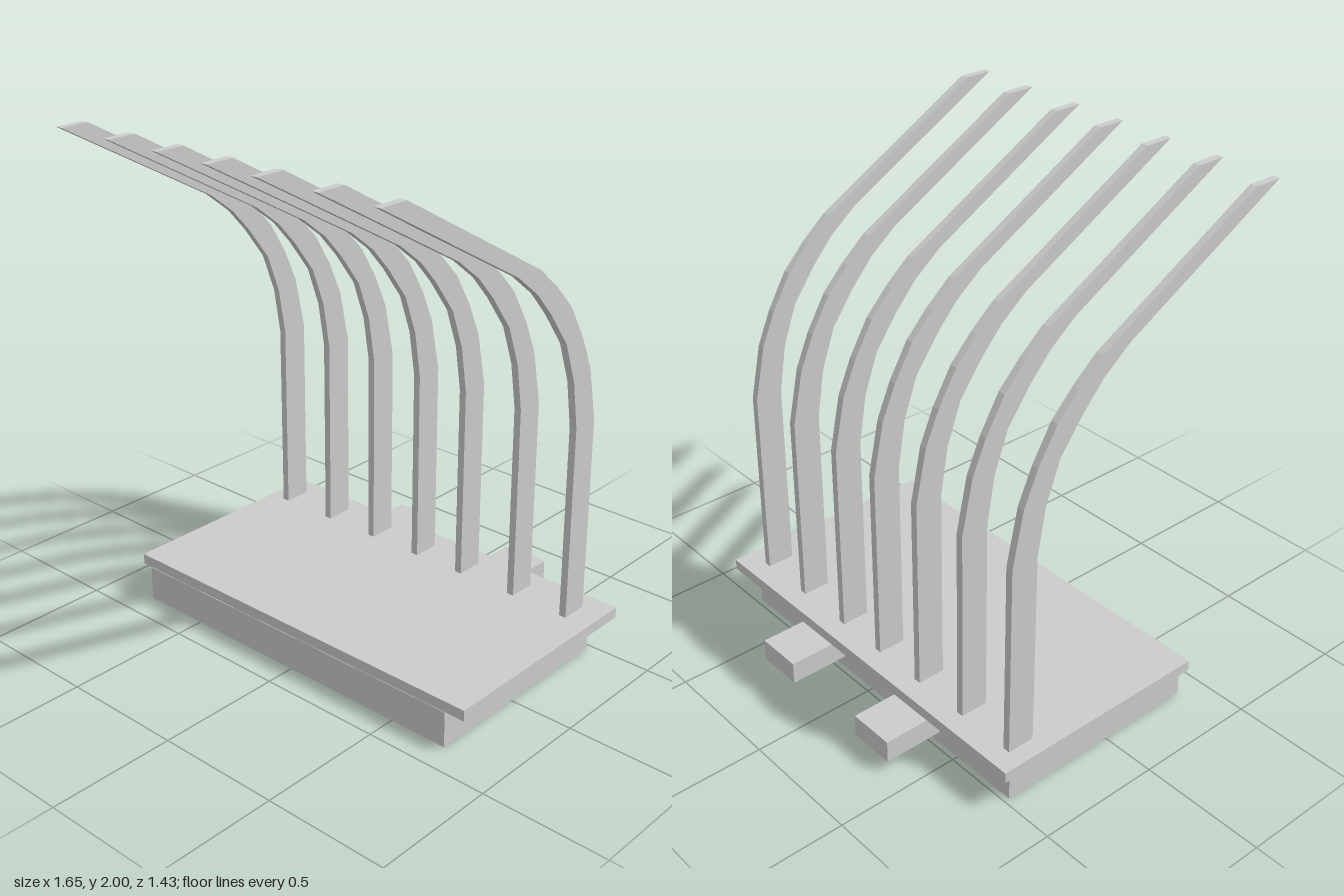
import * as THREE from 'three';

const material = new THREE.MeshStandardMaterial({ color: 0xcccccc, flatShading: true });

// Box given by its min and max corners
function block(name, [x0, y0, z0], [x1, y1, z1]) {
  const mesh = new THREE.Mesh(new THREE.BoxGeometry(x1 - x0, y1 - y0, z1 - z0), material);
  mesh.position.set((x0 + x1) / 2, (y0 + y1) / 2, (z0 + z1) / 2);
  mesh.name = name;
  return mesh;
}

// Side outline of one bent rib as [z, y]: up the back edge, down the front edge
const ribOutline = [
  [-0.458, 0.185], [-0.458, 0.96], [-0.413, 1.174], [-0.355, 1.306], [-0.276, 1.439],
  [-0.185, 1.534], [-0.085, 1.619], [0.597, 2],
  [0.713, 2], [0.037, 1.622], [-0.075, 1.534], [-0.16, 1.439], [-0.258, 1.306],
  [-0.316, 1.147], [-0.347, 0.96], [-0.347, 0.185],
];
const ribWidth = 0.029;

function ribGeometry() {
  const shape = new THREE.Shape(ribOutline.map(([z, y]) => new THREE.Vector2(-z, y)));
  const geometry = new THREE.ExtrudeGeometry(shape, { depth: ribWidth, bevelEnabled: false });
  // Centre the thickness, then turn the outline into the zy plane
  return geometry.translate(0, 0, -ribWidth / 2).rotateY(Math.PI / 2);
}

export function createModel() {
  const model = new THREE.Group();
  model.name = 'ribbedStand';

  // Base and overhanging top slab
  model.add(block('base', [-0.78, 0, -0.478], [0.74, 0.142, 0.385]));
  model.add(block('topSlab', [-0.825, 0.142, -0.538], [0.822, 0.185, 0.383]));

  // Two pegs at the back
  for (const x of [-0.4, 0.172]) {
    model.add(block('backPeg', [x, 0.05, -0.718], [x + 0.188, 0.14, -0.478]));
  }

  // Row of forward-bending ribs
  const geometry = ribGeometry();
  const ribs = new THREE.Group();
  ribs.name = 'ribs';
  for (const x of [-0.74, -0.492, -0.251, -0.017, 0.208, 0.464, 0.709]) {
    const rib = new THREE.Mesh(geometry, material);
    rib.name = 'rib';
    rib.position.x = x;
    ribs.add(rib);
  }
  model.add(ribs);
  return model;
}
